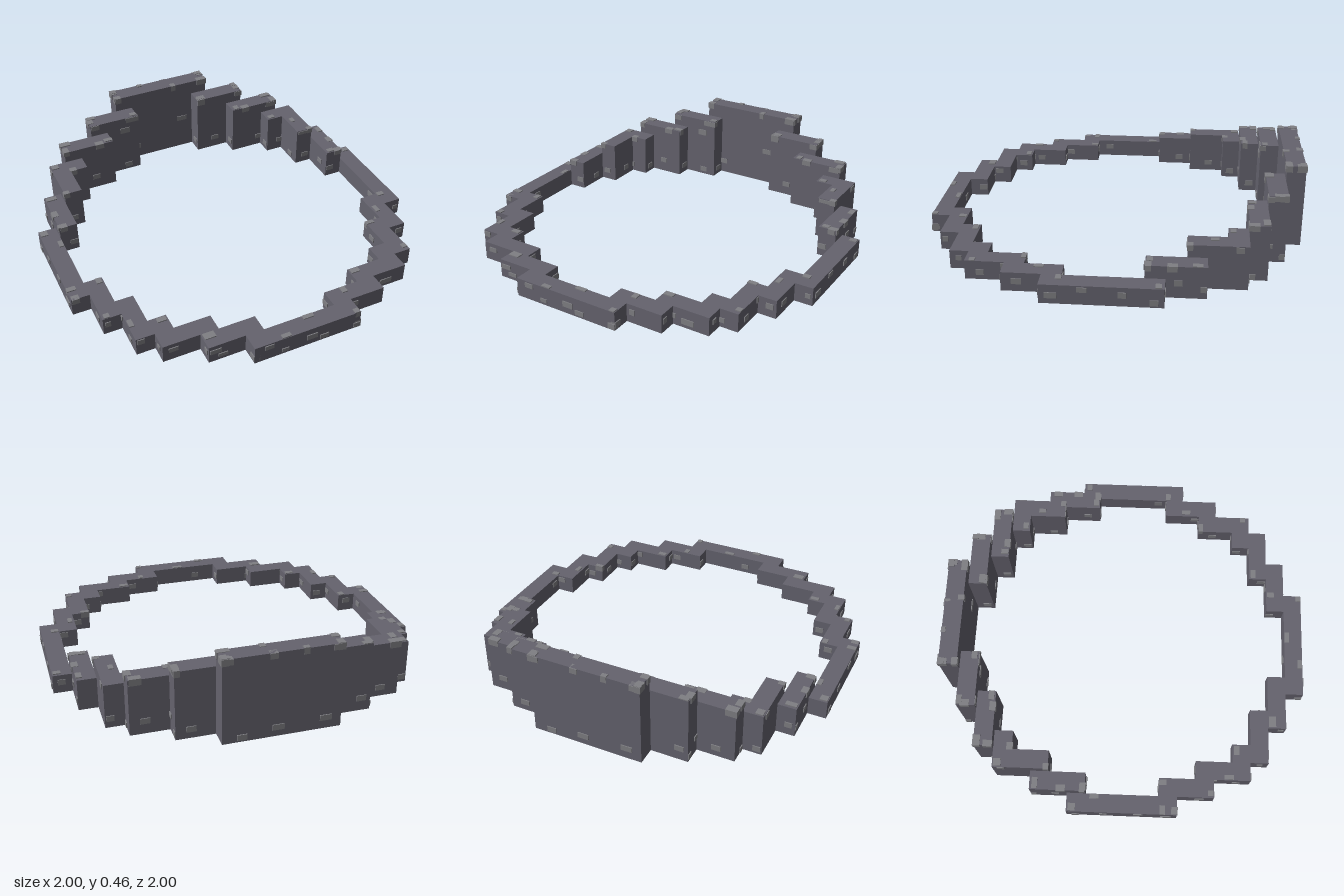
import * as THREE from 'three';
import { mergeGeometries } from 'three/addons/utils/BufferGeometryUtils.js';

const U = 0.0995;    // one block of the floor plan
const LIP = 0.005;   // how far the stones stand proud

// Stepped wall blocks on the +x half: x0, x1, z0, z1 in blocks, then height
const HALF = [
  [2, 5, -9, -8, 0.367],
  [4, 7, -8, -7, 0.298],
  [6, 8, -7, -6, 0.234],
  [7, 8, -6, -4, 0.234],
  [8, 9, -5, -2, 0.168],
  [9, 10, -3, 3, 0.1],
  [8, 9, 2, 5, 0.1],
  [7, 8, 4, 6, 0.1],
  [6, 8, 6, 7, 0.1],
  [4, 7, 7, 8, 0.1],
  [2, 5, 8, 9, 0.1],
];
const BLOCKS = [
  [-3, 3, -10, -9, 0.45],
  [-3, 3, 9, 10, 0.1],
  ...HALF,
  ...HALF.map(([a, b, c, d, h]) => [-b, -a, c, d, h]),
].map(([a, b, c, d, h]) => ({ min: [a * U, 0, c * U], max: [b * U, h, d * U] }));

// Stones seen on each side: two in-plane centre coordinates, then two sizes
const FRONT = [ // x, y
  [0.13, 0.205, 0.065, 0.03], [0.27, 0.435, 0.06, 0.035], [-0.28, 0.435, 0.035, 0.035], [0.08, 0.435, 0.03, 0.035],
  [-0.235, 0.35, 0.08, 0.03], [0.225, 0.35, 0.05, 0.04], [0.48, 0.35, 0.045, 0.03], [-0.47, 0.35, 0.05, 0.03],
  [-0.48, 0.285, 0.05, 0.03], [-0.285, 0.285, 0.06, 0.035], [0.485, 0.285, 0.05, 0.03], [0.66, 0.28, 0.06, 0.03],
  [-0.68, 0.22, 0.04, 0.03], [0.74, 0.22, 0.07, 0.02], [-0.87, 0.155, 0.04, 0.03], [0.87, 0.155, 0.04, 0.03],
  [-0.97, 0.085, 0.04, 0.03], [-0.87, 0.06, 0.03, 0.03], [-0.77, 0.08, 0.04, 0.03], [-0.64, 0.065, 0.05, 0.025],
  [-0.46, 0.065, 0.06, 0.025], [-0.42, 0.03, 0.05, 0.02], [-0.22, 0.08, 0.05, 0.025], [-0.13, 0.025, 0.04, 0.02],
  [0.02, 0.05, 0.06, 0.03], [0.09, 0.025, 0.05, 0.025], [0.28, 0.02, 0.04, 0.03], [0.33, 0.06, 0.03, 0.03],
  [0.5, 0.05, 0.03, 0.025], [0.58, 0.035, 0.07, 0.03], [0.71, 0.04, 0.03, 0.025], [0.86, 0.06, 0.04, 0.03],
  [0.97, 0.05, 0.03, 0.025],
];
const SIDE = [ // y, z
  [0.155, -0.33, 0.03, 0.05], [0.155, -0.215, 0.03, 0.03], [0.22, -0.41, 0.03, 0.03], [0.215, -0.65, 0.03, 0.04],
  [0.285, -0.72, 0.03, 0.05], [0.355, -0.85, 0.03, 0.05], [0.435, -0.91, 0.035, 0.03], [0.435, -0.975, 0.035, 0.05],
  [0.03, 0.975, 0.03, 0.04], [0.06, 0.87, 0.03, 0.03], [0.06, 0.75, 0.025, 0.03], [0.04, 0.62, 0.03, 0.04],
  [0.08, 0.5, 0.03, 0.03], [0.055, 0.42, 0.03, 0.05], [0.045, 0.24, 0.03, 0.06], [0.08, 0.09, 0.025, 0.05],
  [0.06, -0.1, 0.03, 0.04], [0.025, -0.25, 0.03, 0.04], [0.08, -0.36, 0.03, 0.04], [0.05, -0.48, 0.03, 0.03],
  [0.02, -0.72, 0.03, 0.03], [0.09, -0.8, 0.025, 0.06], [0.03, -0.88, 0.03, 0.03],
];
const TOP = [ // x, z
  [-0.285, -0.98, 0.035, 0.035], [0.28, -0.98, 0.04, 0.03], [-0.11, -0.985, 0.03, 0.025], [0.23, -0.82, 0.05, 0.035],
  [0.485, -0.88, 0.03, 0.035], [-0.47, -0.88, 0.05, 0.03], [-0.22, -0.82, 0.04, 0.03], [-0.67, -0.78, 0.06, 0.04],
  [-0.42, -0.72, 0.05, 0.03], [0.43, -0.72, 0.03, 0.04], [0.66, -0.78, 0.06, 0.035], [-0.77, -0.67, 0.04, 0.04],
  [0.63, -0.62, 0.04, 0.03], [0.73, -0.53, 0.025, 0.04], [-0.86, -0.47, 0.06, 0.03], [0.88, -0.45, 0.03, 0.05],
  [0.83, -0.22, 0.04, 0.03], [0.97, -0.27, 0.04, 0.03], [-0.97, -0.27, 0.04, 0.04], [-0.91, -0.15, 0.025, 0.05],
  [0.92, 0.21, 0.04, 0.03], [-0.97, 0.22, 0.05, 0.03], [-0.82, 0.22, 0.03, 0.04], [0.82, 0.32, 0.025, 0.05],
  [-0.87, 0.48, 0.03, 0.03], [0.72, 0.41, 0.05, 0.025], [-0.78, 0.58, 0.025, 0.05], [0.78, 0.66, 0.03, 0.03],
  [-0.63, 0.62, 0.05, 0.03], [0.43, 0.72, 0.05, 0.03], [-0.46, 0.82, 0.06, 0.04], [0.3, 0.82, 0.03, 0.04],
  [0.04, 0.91, 0.06, 0.025], [-0.12, 0.98, 0.05, 0.025], [0.28, 0.98, 0.03, 0.03],
];
const BACK = [ // x, y
  [-0.27, 0.435, 0.05, 0.03], [0.27, 0.435, 0.05, 0.03], [0.05, 0.435, 0.04, 0.03], [-0.22, 0.06, 0.06, 0.03],
  [0.02, 0.05, 0.06, 0.03], [0.2, 0.025, 0.05, 0.03], [-0.45, 0.07, 0.05, 0.03], [0.42, 0.05, 0.05, 0.03],
  [-0.6, 0.05, 0.05, 0.03], [0.62, 0.07, 0.05, 0.03], [-0.77, 0.03, 0.04, 0.03], [0.77, 0.05, 0.04, 0.03],
  [-0.86, 0.06, 0.04, 0.03], [0.95, 0.06, 0.04, 0.03],
];

// Small repeatable number source
let seed = 7;
const rand = () => (seed = (seed * 16807) % 2147483647) / 2147483647;

// A stone set into a face; axis is the facing direction, sign its sense
function stone(axis, sign, level, u, v, w, h) {
  const depth = 0.035;
  const size = [w, h];
  const pos = [u, v];
  size.splice(axis, 0, depth);
  pos.splice(axis, 0, level + sign * (LIP - depth / 2));
  return new THREE.BoxGeometry(...size).translate(...pos);
}

// Outermost wall surface behind the point (u, v)
function surfaceAt(axis, sign, u, v) {
  const [a, b] = [0, 1, 2].filter((i) => i !== axis);
  const levels = BLOCKS
    .filter(({ min, max }) => u >= min[a] && u <= max[a] && v >= min[b] && v <= max[b])
    .map(({ min, max }) => (sign > 0 ? max[axis] : -min[axis]));
  return levels.length ? sign * Math.max(...levels) : null;
}

function setStones(list, axis, sign) {
  const out = [];
  for (const [u, v, w, h] of list) {
    const level = surfaceAt(axis, sign, u, v);
    if (level !== null) out.push(stone(axis, sign, level, u, v, w, h));
  }
  return out;
}

// Stones low on the faces that look into the ring
function innerStones() {
  const out = [];
  for (const { min, max } of BLOCKS) {
    for (const axis of [0, 2]) {
      const other = 2 - axis;
      const sign = min[axis] + max[axis] > 0 ? -1 : 1;
      if (max[axis] - min[axis] > 0.4) continue;
      const level = sign > 0 ? max[axis] : min[axis];
      const along = THREE.MathUtils.lerp(min[other], max[other], 0.2 + 0.6 * rand());
      const y = 0.03 + 0.05 * rand();
      out.push(axis === 0
        ? stone(0, sign, level, y, along, 0.03, 0.045)
        : stone(2, sign, level, along, y, 0.045, 0.03));
    }
  }
  return out;
}

export function createModel() {
  const model = new THREE.Group();
  model.name = 'steppedStoneRing';
  const wallMaterial = new THREE.MeshStandardMaterial({ color: 0x65636e });
  const stoneMaterial = new THREE.MeshStandardMaterial({ color: 0x7f7f83 });

  // Wall blocks, rising in steps toward the back
  const walls = new THREE.Group();
  walls.name = 'wallBlocks';
  for (const { min, max } of BLOCKS) {
    const size = max.map((m, i) => m - min[i]);
    const block = new THREE.Mesh(new THREE.BoxGeometry(...size), wallMaterial);
    block.position.set(...max.map((m, i) => (m + min[i]) / 2));
    block.name = 'wallBlock';
    walls.add(block);
  }
  model.add(walls);

  // Lighter stones set into each side
  const sets = {
    frontStones: setStones(FRONT, 2, 1),
    backStones: setStones(BACK, 2, -1),
    leftStones: setStones(SIDE, 0, 1),
    rightStones: setStones(SIDE, 0, -1),
    topStones: setStones(TOP, 1, 1),
    innerStones: innerStones(),
  };
  for (const [name, parts] of Object.entries(sets)) {
    const mesh = new THREE.Mesh(mergeGeometries(parts), stoneMaterial);
    mesh.name = name;
    model.add(mesh);
  }
  return model;
}
